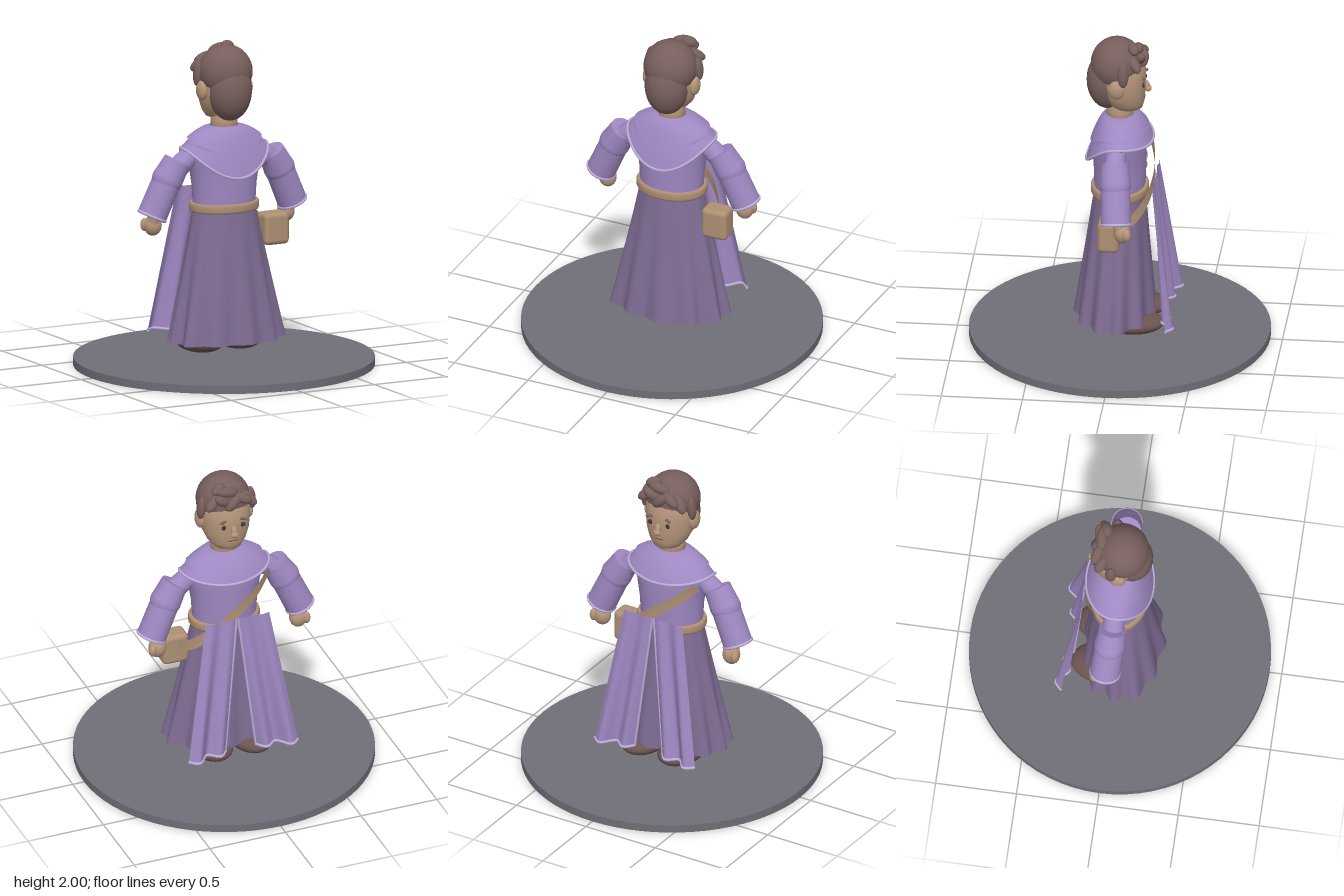
import * as THREE from 'three';
import { mergeVertices } from 'three/addons/utils/BufferGeometryUtils.js';
import { RoundedBoxGeometry } from 'three/addons/geometries/RoundedBoxGeometry.js';

const V = (x, y, z) => new THREE.Vector3(x, y, z);
const lerp = THREE.MathUtils.lerp;

function material(name, color) {
  const m = new THREE.MeshStandardMaterial({ color, side: THREE.DoubleSide });
  m.name = name;
  return m;
}

// Smooth surface from a rule fn(u, v) -> Vector3
function sheet(nu, nv, fn) {
  const g = new THREE.PlaneGeometry(1, 1, nu, nv);
  const p = g.attributes.position;
  for (let j = 0, i = 0; j <= nv; j++) {
    for (let k = 0; k <= nu; k++, i++) {
      const q = fn(k / nu, j / nv);
      p.setXYZ(i, q.x, q.y, q.z);
    }
  }
  g.deleteAttribute('uv');
  g.deleteAttribute('normal');
  const merged = mergeVertices(g, 1e-5);
  merged.computeVertexNormals();
  return merged;
}

// Elliptical sections, listed top to bottom as [y, rx, rz, centre z]
function loft(sections) {
  const n = sections.length - 1;
  return sheet(40, n, (u, v) => {
    const [y, rx, rz, cz] = sections[Math.round(v * n)];
    const t = u * Math.PI * 2;
    return V(rx * Math.sin(t), y, cz + rz * Math.cos(t));
  });
}

function tube(fn, n, r, closed = false) {
  const pts = [];
  for (let i = 0; i < (closed ? n : n + 1); i++) pts.push(fn(i / n));
  return new THREE.TubeGeometry(new THREE.CatmullRomCurve3(pts, closed), n * 2, r, 6, closed);
}

export function createModel() {
  const model = new THREE.Group();
  const robe = material('robe purple', 0x9f88c2);
  const skirtMat = material('skirt purple', 0x7f6c93);
  const trim = material('pale lavender trim', 0xbcaedb);
  const skin = material('skin', 0xb5957a);
  const leather = material('tan leather', 0xae9073);
  const hair = material('brown hair', 0x775f5c);
  const shoe = material('dark brown shoe', 0x6a5450);
  const dark = material('dark eye', 0x40363a);
  const stone = material('grey base', 0x706e76);

  const add = (name, geo, mat, pos) => {
    const m = new THREE.Mesh(geo, mat);
    m.name = name;
    if (pos) m.position.set(...pos);
    model.add(m);
    return m;
  };
  const ball = (name, mat, pos, scale, rot = [0, 0, 0]) => {
    const m = add(name, new THREE.SphereGeometry(1, 28, 18), mat, pos);
    m.scale.set(...scale);
    m.rotation.set(...rot);
    return m;
  };
  // Cone or cylinder from point a to point b
  const limb = (name, mat, a, b, ra, rb, open = false) => {
    const m = add(name, new THREE.CylinderGeometry(rb, ra, a.distanceTo(b), 28, 1, open), mat);
    m.position.copy(a).lerp(b, 0.5);
    m.quaternion.setFromUnitVectors(V(0, 1, 0), b.clone().sub(a).normalize());
    return m;
  };

  // Base
  add('base', new THREE.CylinderGeometry(0.925, 0.925, 0.05, 72), stone, [0, 0.025, 0]);

  // Pleated skirt
  add('skirt', sheet(120, 14, (u, v) => {
    const t = u * Math.PI * 2;
    const fold = 1 + 0.065 * v * Math.sin(t * 11 + 0.6) + 0.02 * v * Math.sin(t * 5);
    return V(lerp(0.2, 0.37, v) * fold * Math.sin(t), lerp(1, 0.165, v),
      0.025 * v + lerp(0.155, 0.24, v) * fold * Math.cos(t));
  }), skirtMat);

  // Torso and belt
  add('torso', loft([
    [1.47, 0.07, 0.07, 0], [1.45, 0.16, 0.11, 0], [1.41, 0.25, 0.145, 0], [1.35, 0.265, 0.16, 0],
    [1.25, 0.23, 0.162, 0], [1.13, 0.21, 0.16, 0], [0.97, 0.2, 0.155, 0],
  ]), robe);
  add('belt', loft([
    [1.025, 0.195, 0.15, 0], [1.027, 0.22, 0.172, 0], [1.015, 0.226, 0.178, 0],
    [0.982, 0.226, 0.178, 0], [0.97, 0.22, 0.172, 0], [0.972, 0.195, 0.15, 0],
  ]), leather);

  // Two-layer collar, deepest at +z
  const collar = (u, v, lift = 0) => {
    const t = u * Math.PI * 2, c = Math.cos(t);
    const edge = 1.37 - (c > 0 ? 0.175 : 0.035) * c * c;
    const f = Math.pow(v, 0.6);
    return V(lerp(0.085, 0.285, f) * Math.sin(t) * (1 + lift), lerp(1.485, edge, v) + lift * 0.3,
      lerp(0.08, 0.205, f) * c * (1 + lift));
  };
  add('cape collar', sheet(64, 10, (u, v) => collar(u, v)), robe);
  add('upper collar', sheet(64, 8, (u, v) => collar(u, v * 0.6, 0.045)), robe);
  add('collar trim', tube((u) => collar(u, 1), 48, 0.009, true), trim);

  // Front panels at -z, with trimmed edges
  for (const s of [-1, 1]) {
    const panel = (u, v) => V(
      s * lerp(0.005 + 0.205 * u, 0.1 + 0.26 * u, v), lerp(1.09, 0.19, v),
      lerp(-0.222, -0.285 - 0.05 * u, v) - (0.006 + 0.024 * v) * Math.sin(u * Math.PI * 3.4 - 0.5));
    add('front panel', sheet(32, 12, panel), robe);
    add('panel edge trim', tube((k) => panel(0, k), 16, 0.008), trim);
    add('panel hem trim', tube((k) => panel(k, 1), 20, 0.01), trim);
  }

  // Arms, hands and shoes
  for (const s of [-1, 1]) {
    const elbow = V(s * 0.39, 1.19, -0.01), cuff = V(s * 0.49, 0.968, -0.025);
    limb('upper sleeve', robe, V(s * 0.325, 1.302, 0), elbow, 0.084, 0.096);
    limb('shoulder', robe, V(s * 0.22, 1.34, 0), V(s * 0.36, 1.23, 0), 0.06, 0.07);
    ball('elbow', robe, [elbow.x, elbow.y, elbow.z], [0.098, 0.098, 0.094]);
    limb('lower sleeve', robe, elbow, cuff, 0.09, 0.092, true);
    const ring = add('cuff trim', new THREE.TorusGeometry(0.088, 0.01, 8, 32), trim);
    ring.position.copy(cuff);
    ring.quaternion.setFromUnitVectors(V(0, 0, 1), cuff.clone().sub(elbow).normalize());
    limb('wrist', skin, V(s * 0.45, 1.06, -0.02), V(s * 0.47, 0.92, -0.05), 0.04, 0.04);
    ball('hand', skin, [s * 0.465, 0.902, -0.06], [0.056, 0.065, 0.052]);
    ball('thumb', skin, [s * 0.508, 0.905, -0.09], [0.024, 0.04, 0.027]);
    ball('shoe', shoe, [s * 0.13, 0.145, -0.085], [0.135, 0.068, 0.2]);
  }

  // Shoulder strap and pouch
  const path = new THREE.CatmullRomCurve3([
    V(-0.25, 1.33, -0.12), V(-0.13, 1.23, -0.19), V(0.04, 1.1, -0.215),
    V(0.19, 0.97, -0.17), V(0.28, 0.88, -0.08), V(0.32, 0.86, 0)]);
  add('shoulder strap', sheet(4, 30, (u, v) => {
    const p = path.getPoint(v);
    const across = path.getTangent(v).cross(V(p.x * 0.7, 0, p.z).normalize()).normalize();
    return p.addScaledVector(across, (u - 0.5) * 0.065);
  }), leather);
  add('pouch', new RoundedBoxGeometry(0.17, 0.2, 0.13, 4, 0.03), leather, [0.325, 0.828, 0.035]);

  // Neck and head
  add('neck', loft([
    [1.58, 0.075, 0.075, 0], [1.53, 0.083, 0.083, 0], [1.49, 0.084, 0.084, 0], [1.44, 0.06, 0.06, 0],
  ]), skin);
  add('head', loft([
    [1.93, 0, 0, 0], [1.92, 0.08, 0.08, 0], [1.88, 0.13, 0.125, 0], [1.8, 0.158, 0.153, -0.005],
    [1.72, 0.157, 0.152, -0.008], [1.65, 0.148, 0.14, -0.016], [1.59, 0.123, 0.118, -0.032],
    [1.55, 0.09, 0.092, -0.048], [1.535, 0.055, 0.06, -0.05], [1.532, 0, 0, -0.05],
  ]), skin);
  ball('nose', skin, [0, 1.69, -0.165], [0.018, 0.04, 0.02], [0.3, 0, 0]);
  ball('nose tip', skin, [0, 1.672, -0.175], [0.024, 0.02, 0.02]);
  ball('mouth', shoe, [0, 1.615, -0.148], [0.035, 0.006, 0.008]);
  ball('lower lip', skin, [0, 1.603, -0.143], [0.03, 0.01, 0.012]);
  for (const s of [-1, 1]) {
    ball('ear', skin, [s * 0.158, 1.725, 0.005], [0.03, 0.062, 0.05]);
    ball('eye', dark, [s * 0.058, 1.72, -0.148], [0.022, 0.016, 0.008], [0, s * 0.4, 0]);
    ball('eyebrow', hair, [s * 0.06, 1.762, -0.15], [0.034, 0.009, 0.01], [0, s * 0.4, s * -0.1]);
    ball('side lock', hair, [s * 0.165, 1.825, -0.035], [0.027, 0.078, 0.034], [0, 0, s * 0.08]);
  }

  // Hair
  ball('back hair', hair, [0, 1.722, 0.075], [0.137, 0.187, 0.13]);
  ball('hair cap', hair, [0, 1.832, 0.018], [0.169, 0.168, 0.162]);
  const locks = [ // x, y, z, half length, tilt
    [-0.12, 1.87, -0.1, 0.065, 0.7], [-0.065, 1.9, -0.13, 0.07, 0.4], [0, 1.88, -0.145, 0.06, -0.8],
    [0.06, 1.9, -0.13, 0.065, 0.6], [0.115, 1.88, -0.1, 0.065, -0.5], [0.02, 1.95, -0.115, 0.07, 0.2],
    [0.075, 1.967, -0.09, 0.05, -0.3],
  ];
  for (const [x, y, z, len, tilt] of locks) {
    ball('fringe lock', hair, [x, y, z], [len, 0.033, 0.033], [0, x * 5, tilt]);
  }
  return model;
}
